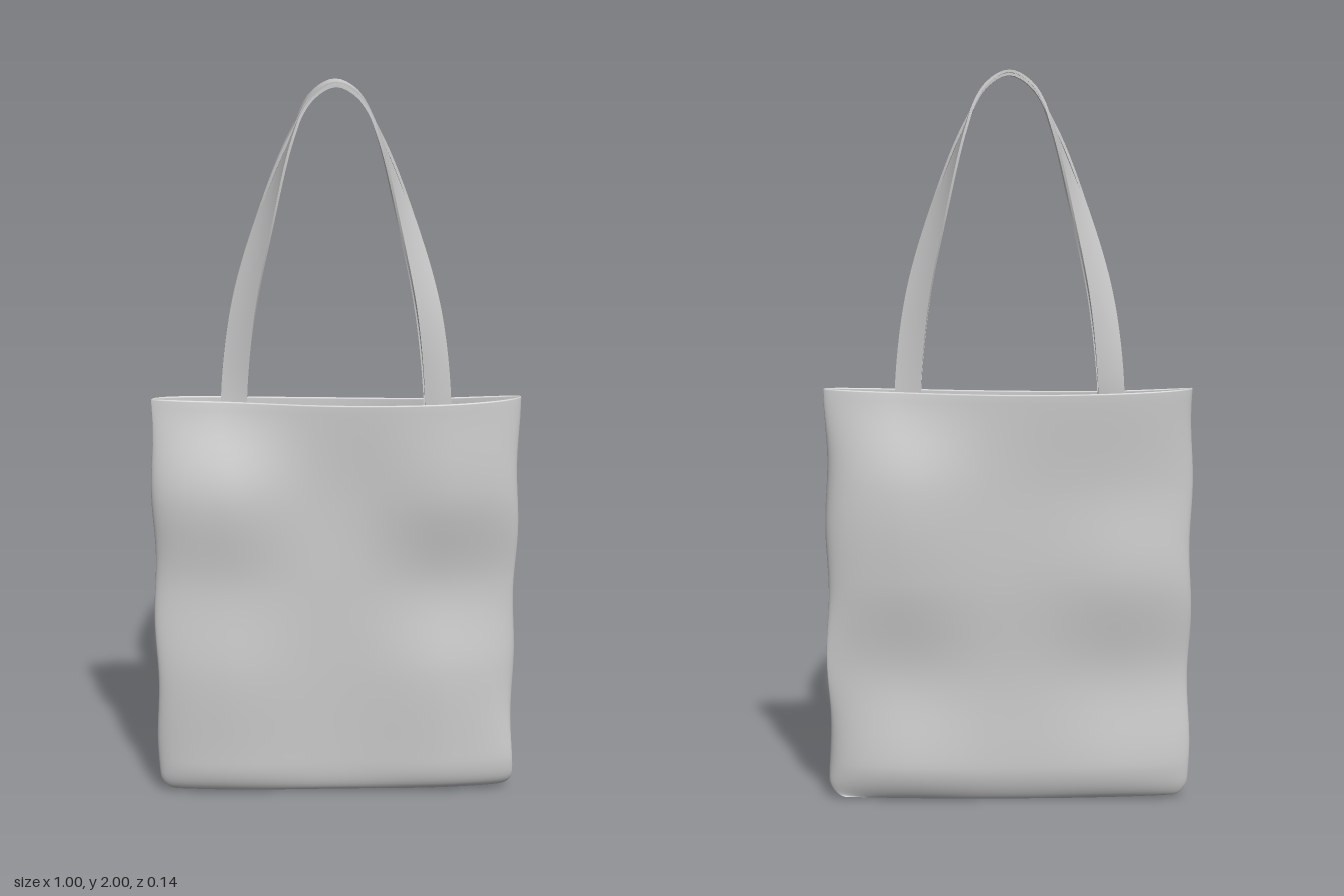
import * as THREE from 'three';

const TOP = 1.15;
const WALL = 0.006;

// Smooth interpolation through evenly spaced values, t from 0 to 1
function spline(values, t) {
  const n = values.length - 1;
  const f = THREE.MathUtils.clamp(t, 0, 1) * n;
  const i = Math.min(Math.floor(f), n - 1);
  const k = f - i;
  const at = (j) => values[THREE.MathUtils.clamp(j, 0, n)];
  const m0 = (at(i + 1) - at(i - 1)) / 2, m1 = (at(i + 2) - at(i)) / 2;
  const k2 = k * k, k3 = k2 * k;
  return at(i) * (2 * k3 - 3 * k2 + 1) + m0 * (k3 - 2 * k2 + k) + at(i + 1) * (3 * k2 - 2 * k3) + m1 * (k3 - k2);
}

// Cloth depth: rows run from the bottom to the rim, columns from x = -0.3 to 0.3
const FRONT = [[0.05, 0.032, 0.06], [0.058, 0.035, 0.06], [0.042, 0.036, 0.03], [0.06, 0.034, 0.068], [0.004, 0.042, 0.06]];
const BACK = [[-0.05, -0.04, -0.05], [-0.028, -0.034, -0.024], [-0.06, -0.046, -0.062], [-0.05, -0.048, -0.068], [-0.064, -0.052, -0.022]];
// Side seam depth on the left and right edges
const SEAM_LEFT = [0.026, -0.01, -0.002, 0.014, 0];
const SEAM_RIGHT = [-0.004, 0.012, -0.006, 0.004, -0.004];

function clothDepth(table, x, y) {
  const u = (x + 0.3) / 0.6;
  return spline(table.map((row) => spline(row, u)), (y - 0.1) / (TOP - 0.1));
}

// One point of the bag wall at angle a and height y, moved inward by inset
function bagPoint(a, y, inset) {
  const c = Math.cos(a), s = Math.sin(a);
  const u = Math.sign(c) * Math.abs(c) ** 0.7;
  const low = Math.max(0, 1 - y / 0.1);
  const round = Math.sqrt(1 - low * low);
  const corner = Math.max(0, 1 - y / 0.05);
  const halfWidth = 0.498 + 0.004 * Math.sin(y * 17 + Math.sign(c)) - 0.045 * (1 - Math.sqrt(1 - corner * corner)) - inset;
  const x = u * halfWidth;
  const v = (y - 0.1) / (TOP - 0.1);
  const edge = THREE.MathUtils.lerp(spline(SEAM_RIGHT, v), spline(SEAM_LEFT, v), (u + 1) / 2);
  const seam = edge * round - 0.006 * (1 - round);
  const table = s >= 0 ? FRONT : BACK;
  const bulge = Math.sqrt(Math.max(0, 1 - Math.abs(u) ** 4)) * round;
  const side = s >= 0 ? 1 : -1;
  const z = seam + (clothDepth(table, x, y) - seam - side * inset) * bulge;
  // Slight sag of the rim and slightly lifted bottom corners
  const lift = 0.012 * (u * u - 0.7) * (y / TOP) + 0.008 * u * u * (1 - y / TOP);
  return [x, y + lift, z];
}

// Outer wall, rolled rim and inner wall as one loft
function makeBag() {
  const rows = [];
  for (let i = 0; i <= 10; i++) rows.push([0.1 * (1 - Math.cos((i / 10) * Math.PI / 2)), 0]);
  for (let i = 1; i <= 50; i++) rows.push([0.1 + (TOP - 0.104) * (i / 50), 0]);
  for (let i = 1; i <= 4; i++) {
    const a = (i / 4) * Math.PI;
    rows.push([TOP - 0.004 + 0.004 * Math.sin(a), WALL * (1 - Math.cos(a)) / 2]);
  }
  for (let i = 1; i <= 40; i++) rows.push([TOP - 0.004 - (TOP - 0.024) * (i / 40), WALL]);

  const N = 128;
  const position = [], index = [];
  rows.forEach(([y, inset]) => {
    for (let j = 0; j < N; j++) position.push(...bagPoint((j / N) * Math.PI * 2, y, inset));
  });
  for (let i = 0; i < rows.length - 1; i++) {
    for (let j = 0; j < N; j++) {
      const a = i * N + j, b = i * N + ((j + 1) % N);
      index.push(a, a + N, b, b, a + N, b + N);
    }
  }
  const geometry = new THREE.BufferGeometry();
  geometry.setAttribute('position', new THREE.Float32BufferAttribute(position, 3));
  geometry.setIndex(index);
  geometry.computeVertexNormals();
  return geometry;
}

// Flat strap: a long box bent along a curve, twisting from the panel to lie flat at the top
function makeStrap(side, leftZ, rightZ, drop) {
  const leg = [[0.272, 1.06], [0.272, 1.17], [0.245, 1.4], [0.188, 1.63], [0.118, 1.85], [0.062, 1.962 - drop]];
  const points = leg.map(([x, y], i) => new THREE.Vector3(-x, y, leftZ[i]));
  points.push(new THREE.Vector3(0, 1.996 - drop, 0.002));
  for (let i = leg.length - 1; i >= 0; i--) points.push(new THREE.Vector3(leg[i][0], leg[i][1], rightZ[i]));
  const curve = new THREE.CatmullRomCurve3(points, false, 'centripetal');

  const geometry = new THREE.BoxGeometry(1, 0.007, 0.07, 120, 1, 4);
  const pos = geometry.attributes.position;
  const v = new THREE.Vector3();
  for (let i = 0; i < pos.count; i++) {
    v.fromBufferAttribute(pos, i);
    const t = THREE.MathUtils.clamp(v.x + 0.5, 0, 1);
    const p = curve.getPointAt(t);
    const tangent = curve.getTangentAt(t);
    const turn = (Math.PI / 2) * THREE.MathUtils.clamp((p.y - 1.12) / 0.78, 0, 1) ** 1.3;
    const outward = new THREE.Vector3(-tangent.y, tangent.x, 0).normalize();
    const normal = outward.multiplyScalar(Math.sin(turn));
    normal.z += side * Math.cos(turn);
    normal.addScaledVector(tangent, -normal.dot(tangent)).normalize();
    const across = new THREE.Vector3().crossVectors(tangent, normal);
    p.addScaledVector(normal, v.y).addScaledVector(across, v.z);
    pos.setXYZ(i, p.x, p.y, p.z);
  }
  geometry.computeVertexNormals();
  return geometry;
}

export function createModel() {
  const group = new THREE.Group();
  group.name = 'toteBag';
  const material = new THREE.MeshStandardMaterial({ color: 0xcccccc, roughness: 0.9, side: THREE.DoubleSide });
  const add = (name, geometry) => {
    const mesh = new THREE.Mesh(geometry, material);
    mesh.name = name;
    group.add(mesh);
  };
  add('bagBody', makeBag());
  // Each strap follows the inside of its own panel, then the back one lies over the front one
  add('frontStrap', makeStrap(1, [-0.006, -0.006, 0.008, 0.016, 0.008, 0.003], [0.043, 0.046, 0.05, 0.036, 0.016, 0.006], 0.008));
  add('backStrap', makeStrap(-1, [-0.042, -0.052, -0.052, -0.04, -0.018, -0.006], [-0.008, -0.012, -0.02, -0.022, -0.01, -0.002], 0));
  return group;
}
